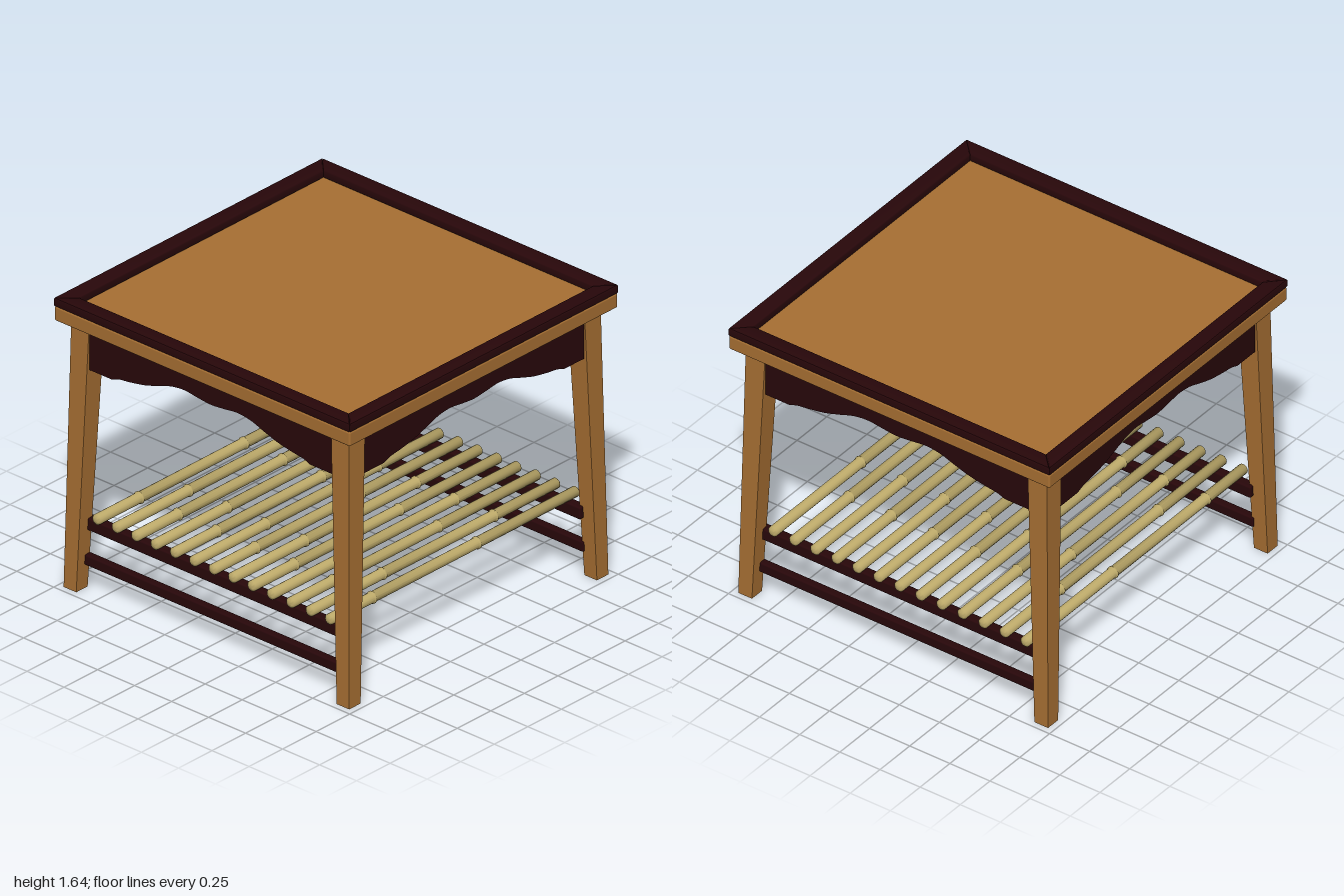
import * as THREE from 'three';
import { toCreasedNormals } from 'three/addons/utils/BufferGeometryUtils.js';
import { RoundedBoxGeometry } from 'three/addons/geometries/RoundedBoxGeometry.js';

const material = (name, color) => {
  const m = new THREE.MeshStandardMaterial({ color });
  m.name = name;
  return m;
};

// Square leg, tapered and splayed outward on both axes
function legGeometry(sx, sz) {
  const height = 1.515;
  const g = new THREE.BoxGeometry(1, 1, 1);
  const p = g.attributes.position;
  for (let i = 0; i < p.count; i++) {
    const top = p.getY(i) > 0;
    const centre = top ? 0.878 : 0.9225;
    const width = top ? 0.12 : 0.085;
    p.setXYZ(i, sx * centre + p.getX(i) * width, top ? height : 0, sz * centre + p.getZ(i) * width);
  }
  g.computeVertexNormals();
  return g;
}

// Board with a scalloped lower edge; outer face at z = 0.932
function apronGeometry() {
  const half = [[-0.67, 1.271], [-0.62, 1.289], [-0.55, 1.299], [-0.45, 1.318],
    [-0.36, 1.346], [-0.27, 1.376], [-0.18, 1.387], [-0.09, 1.377]];
  const curve = [...half, [0, 1.369], ...half.slice().reverse().map(([x, y]) => [-x, y])];
  const s = new THREE.Shape();
  s.moveTo(-0.82, 1.52);
  s.lineTo(-0.82, 1.271);
  s.lineTo(...curve[0]);
  s.splineThru(curve.slice(1).map(([x, y]) => new THREE.Vector2(x, y)));
  s.lineTo(0.82, 1.271);
  s.lineTo(0.82, 1.52);
  const g = new THREE.ExtrudeGeometry(s, { depth: 0.045, bevelEnabled: false, curveSegments: 6 });
  g.translate(0, 0, 0.887);
  return toCreasedNormals(g, 0.6);
}

// Mitred edge strip with softened edges, along the +z side
function edgeStripGeometry() {
  const s = new THREE.Shape([[-1, -1], [1, -1], [0.91, -0.91], [-0.91, -0.91]]
    .map(([x, y]) => new THREE.Vector2(x, y)));
  const b = 0.01;
  const g = new THREE.ExtrudeGeometry(s, {
    depth: 0.048 - 2 * b, bevelThickness: b, bevelSize: b, bevelOffset: -b, bevelSegments: 3,
  });
  g.rotateX(-Math.PI / 2);
  g.translate(0, 1.596 + b, 0);
  return toCreasedNormals(g, 0.6);
}

// Cane along x with slightly domed ends and a raised ring at each node
function caneGeometry(nodes) {
  const r = 0.029, end = 0.93;
  const profile = [[0, -end], [0.018, -end + 0.004], [r, -end + 0.014]];
  for (const n of nodes) {
    profile.push([r, n - 0.008], [r + 0.005, n - 0.004], [r + 0.005, n + 0.004], [r, n + 0.008]);
  }
  profile.push([r, end - 0.014], [0.018, end - 0.004], [0, end]);
  const g = new THREE.LatheGeometry(profile.map(([x, y]) => new THREE.Vector2(x, y)), 16);
  g.rotateZ(-Math.PI / 2);
  return toCreasedNormals(g, 0.9);
}

export function createModel() {
  const group = new THREE.Group();
  group.name = 'sideTable';
  const wood = material('warm brown wood', 0xa87033);
  const dark = material('dark red wood', 0x28070a);
  const bamboo = material('pale bamboo', 0xbaa768);

  const add = (name, geometry, mat, x = 0, y = 0, z = 0) => {
    const m = new THREE.Mesh(geometry, mat);
    m.name = name;
    m.position.set(x, y, z);
    group.add(m);
    return m;
  };

  // Tabletop: slab sunk inside a mitred dark edging, with an apron under each side
  add('topSlab', new RoundedBoxGeometry(1.998, 0.082, 1.998, 3, 0.01), wood, 0, 1.556, 0);
  const strip = edgeStripGeometry();
  const apron = apronGeometry();
  for (let i = 0; i < 4; i++) {
    add('topEdging' + (i + 1), strip, dark).rotation.y = i * Math.PI / 2;
    add('apron' + (i + 1), apron, dark).rotation.y = i * Math.PI / 2;
  }

  // Legs and the two rails on each side
  for (const sx of [1, -1]) {
    const side = sx > 0 ? 'Left' : 'Right';
    for (const sz of [1, -1]) {
      add((sz > 0 ? 'front' : 'back') + side + 'Leg', legGeometry(sx, sz), wood);
    }
    add('upperRail' + side, new RoundedBoxGeometry(0.055, 0.07, 1.772, 2, 0.01), dark, sx * 0.8675, 0.363, 0);
    add('lowerRail' + side, new RoundedBoxGeometry(0.045, 0.06, 1.772, 2, 0.01), dark, sx * 0.886, 0.164, 0);
  }

  // Slatted shelf of canes with staggered nodes
  const canes = [caneGeometry([-0.6, 0.18]), caneGeometry([-0.38, 0.45])];
  for (let i = 0; i < 13; i++) {
    add('shelfCane' + (i + 1), canes[i % 2], bamboo, 0, 0.427, 0.786 - i * 0.131);
  }
  return group;
}
